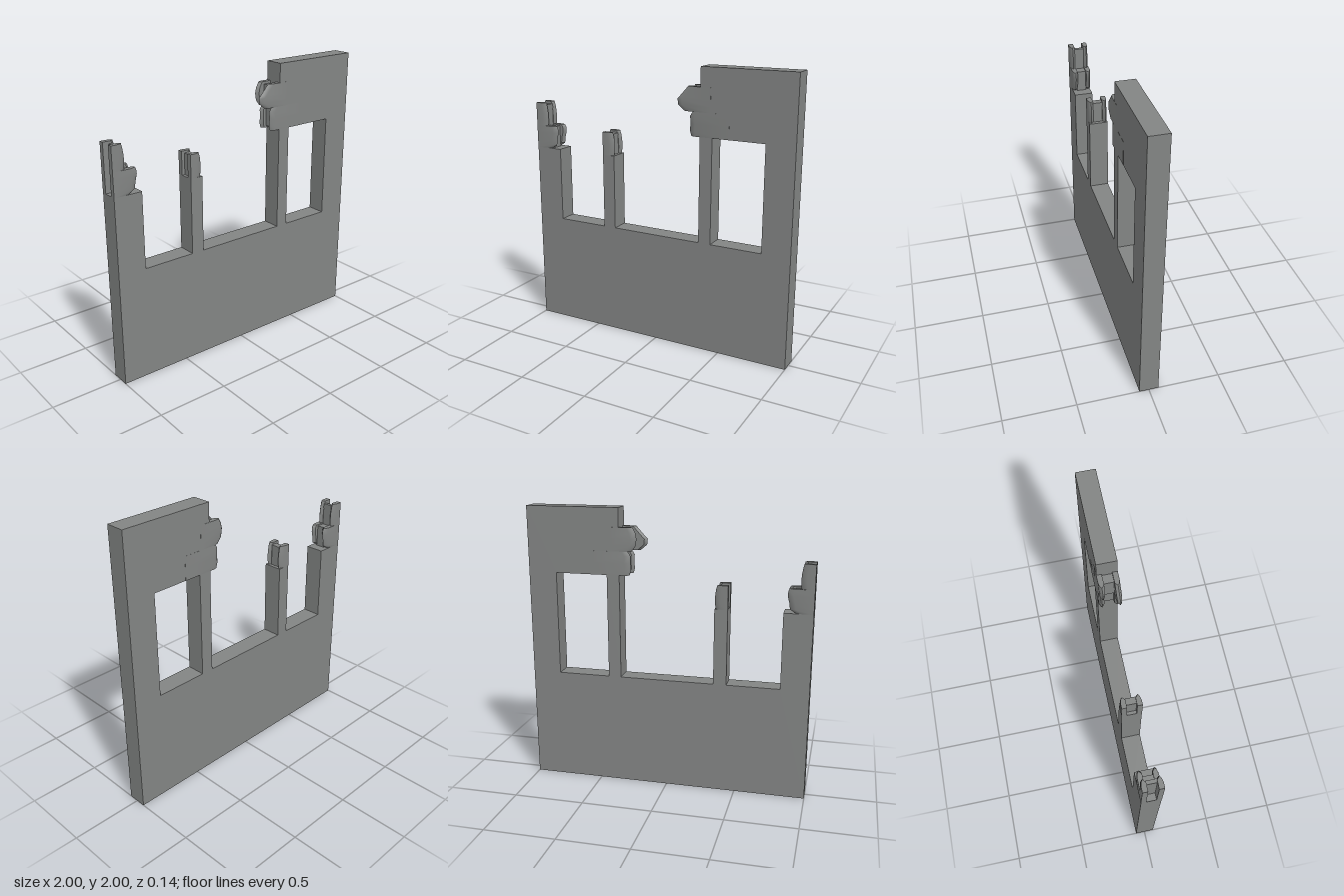
import * as THREE from 'three';
import { toCreasedNormals } from 'three/addons/utils/BufferGeometryUtils.js';

const HALF = 0.067; // half the wall thickness

// Facing stone: straight at x0, broken at the edge points [y, x]; side is +1 (front) or -1 (back)
function stoneGeometry(x0, edge, side) {
  const dir = Math.sign(edge[0][1] - x0);
  const zo = HALF + 0.001, zi = 0.033;
  const pos = [], idx = [];
  const n = 6;
  for (const [y, x] of edge) {
    const section = [
      [x0, zi], [x0, zo], [x - dir * 0.04, zo],
      [x - dir * 0.012, zo - 0.007], [x, (zo + zi) / 2], [x - dir * 0.02, zi],
    ];
    for (const [px, pz] of section) pos.push(px, y, pz * side);
  }
  const flip = dir * side < 0;
  const tri = (a, b, c) => (flip ? idx.push(a, c, b) : idx.push(a, b, c));
  const last = (edge.length - 1) * n;
  for (let r = 0; r < last; r += n) {
    for (let j = 0; j < n; j++) {
      const k = (j + 1) % n;
      tri(r + j, r + k, r + n + k);
      tri(r + j, r + n + k, r + n + j);
    }
  }
  for (let j = 1; j < n - 1; j++) {
    tri(0, j + 1, j);
    tri(last, last + j, last + j + 1);
  }
  const g = new THREE.BufferGeometry();
  g.setAttribute('position', new THREE.Float32BufferAttribute(pos, 3));
  g.setIndex(idx);
  return toCreasedNormals(g, 0.7);
}

export function createModel() {
  const group = new THREE.Group();
  const stone = new THREE.MeshStandardMaterial({ color: 0x838584 });
  stone.name = 'greyStone';

  const add = (geometry, name) => {
    const m = new THREE.Mesh(geometry, stone);
    m.name = name;
    group.add(m);
  };

  // Ruined wall with posts and one whole window
  const outline = [
    [-1, 0], [1, 0], [1, 2], [0.335, 2], [0.335, 0.8], [-0.335, 0.8],
    [-0.335, 1.335], [-0.427, 1.335], [-0.427, 0.8], [-0.8, 0.8], [-0.8, 1.335], [-1, 1.335],
  ];
  const toPoints = (list) => list.map(([x, y]) => new THREE.Vector2(x, y));
  const shape = new THREE.Shape(toPoints(outline));
  shape.holes.push(new THREE.Path(toPoints([[0.425, 0.8], [0.425, 1.537], [0.797, 1.537], [0.797, 0.8]])));
  const wall = new THREE.ExtrudeGeometry(shape, { depth: HALF * 2, bevelEnabled: false });
  wall.translate(0, 0, -HALF);
  add(wall, 'wall');

  // Broken facing stones: [name, straight end, front edge, back edge]
  const stones = [
    ['cornerLowerStone', -1,
      [[1.335, -0.88], [1.36, -0.84], [1.4, -0.835], [1.45, -0.822], [1.485, -0.825], [1.5, -0.835]]],
    ['cornerUpperStone', -1,
      [[1.5, -0.91], [1.54, -0.907], [1.59, -0.907], [1.64, -0.915], [1.667, -0.922]]],
    ['postStone', -0.427,
      [[1.335, -0.342], [1.37, -0.336], [1.42, -0.336], [1.47, -0.342], [1.5, -0.352]]],
    ['windowLowerStone', 0.545,
      [[1.537, 0.265], [1.57, 0.255], [1.62, 0.258], [1.67, 0.255], [1.702, 0.275]]],
    ['windowUpperStone', 0.41,
      [[1.702, 0.21], [1.74, 0.165], [1.78, 0.16], [1.8, 0.18], [1.867, 0.24]],
      [[1.702, 0.25], [1.74, 0.22], [1.79, 0.212], [1.83, 0.22], [1.867, 0.24]]],
  ];
  for (const [name, x0, front, back = front] of stones) {
    add(stoneGeometry(x0, front, 1), name + 'Front');
    add(stoneGeometry(x0, back, -1), name + 'Back');
  }

  // Narrow rubble core between the two faces: [x0, x1, y0, y1]
  const cores = [
    [-0.955, -0.87, 1.335, 1.49], [-0.955, -0.93, 1.49, 1.65],
    [-0.405, -0.36, 1.335, 1.485], [0.3, 0.335, 1.55, 1.7], [0.275, 0.335, 1.7, 1.85],
  ];
  for (const [x0, x1, y0, y1] of cores) {
    const g = new THREE.BoxGeometry(x1 - x0, y1 - y0, 0.07);
    g.translate((x0 + x1) / 2, (y0 + y1) / 2, 0);
    add(g, 'rubbleCore');
  }
  return group;
}
